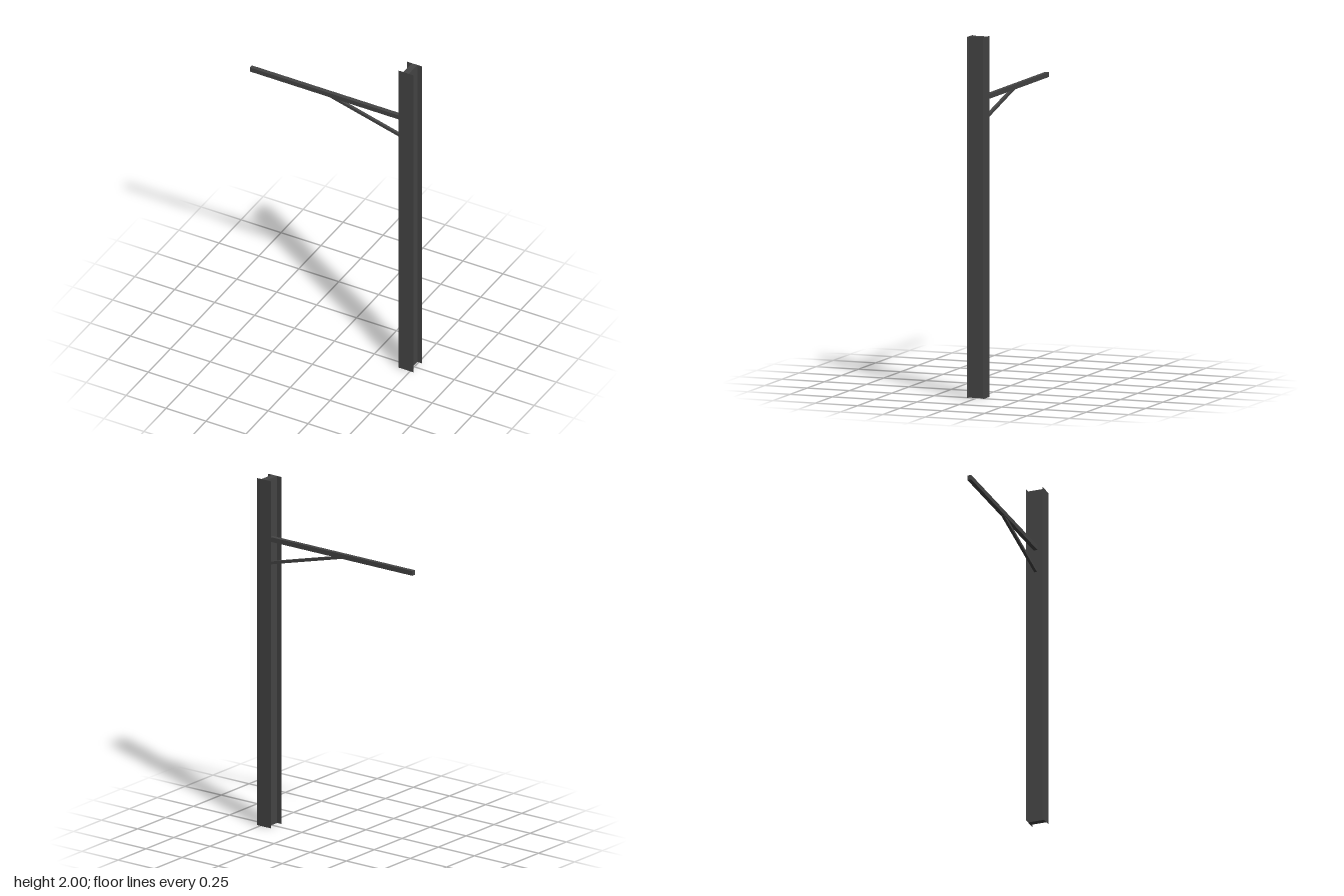
import * as THREE from 'three';

export function createModel() {
  const group = new THREE.Group();
  const steel = new THREE.MeshStandardMaterial({ color: 0x464646, side: THREE.DoubleSide });
  steel.name = 'dark steel';

  const add = (name, geometry, x, y, z) => {
    const mesh = new THREE.Mesh(geometry, steel);
    mesh.name = name;
    mesh.position.set(x, y, z);
    group.add(mesh);
    return mesh;
  };

  // H-section post: a solid web between two sheet-thin flanges
  const postX = 0.475, halfDepth = 0.048, height = 2;
  add('postWeb', new THREE.BoxGeometry(0.034, height, halfDepth * 2 - 0.001), postX, height / 2, 0);
  for (const [name, side] of [['frontFlange', 1], ['backFlange', -1]]) {
    const flange = add(name, new THREE.PlaneGeometry(0.094, height), postX, height / 2, side * halfDepth);
    if (side < 0) flange.rotation.y = Math.PI;
  }

  // Horizontal arm running from the web
  const armZ = -0.004, armStart = -0.525, armEnd = 0.46;
  add('arm', new THREE.BoxGeometry(armEnd - armStart, 0.027, 0.023),
    (armStart + armEnd) / 2, 1.651, armZ);

  // Diagonal brace from the underside of the arm down to the web
  const top = new THREE.Vector2(-0.03, 1.643);
  const foot = new THREE.Vector2(0.465, 1.512);
  const brace = add('brace', new THREE.BoxGeometry(top.distanceTo(foot), 0.016, 0.016),
    (top.x + foot.x) / 2, (top.y + foot.y) / 2, armZ);
  brace.rotation.z = Math.atan2(foot.y - top.y, foot.x - top.x);

  return group;
}
